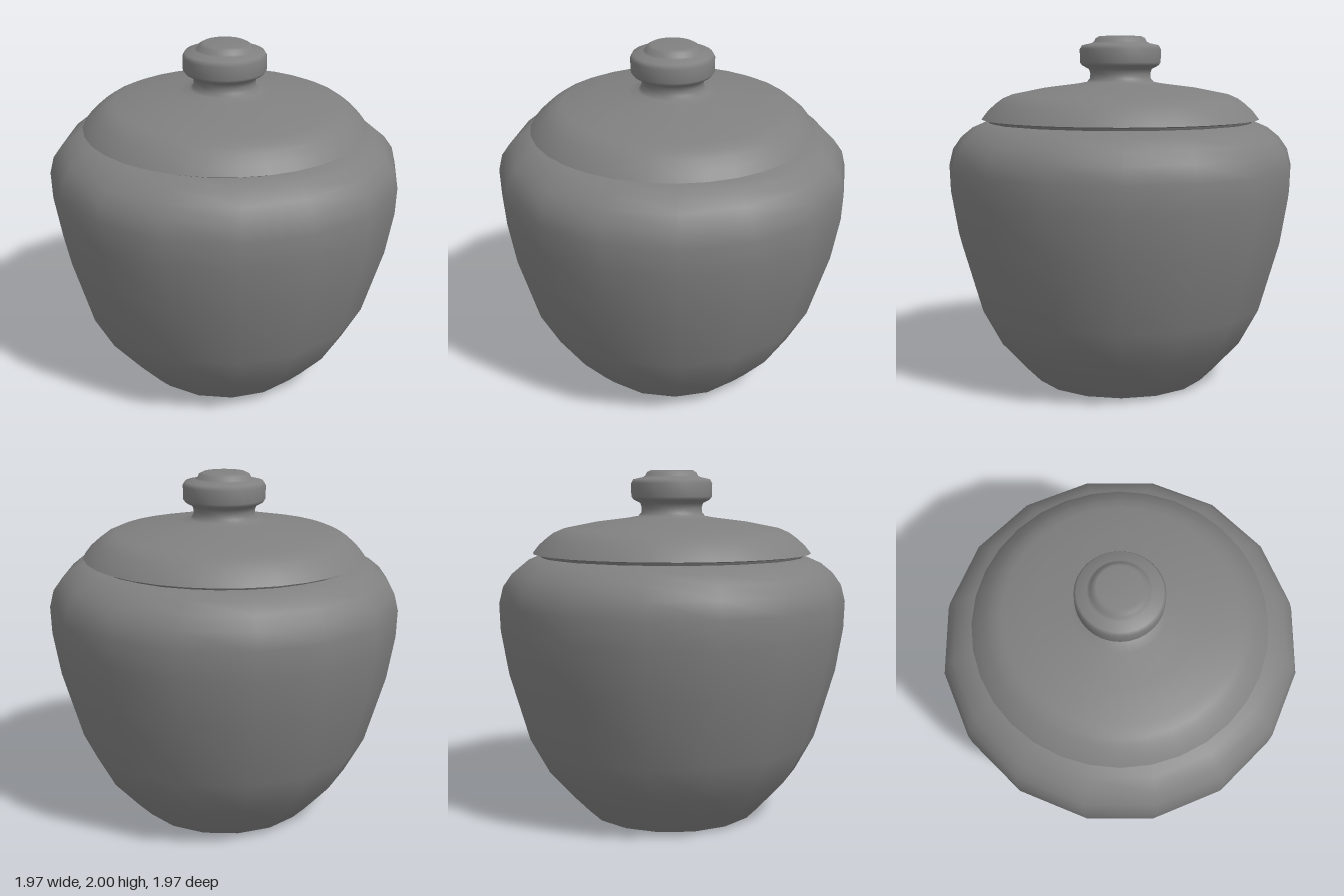
import * as THREE from 'three';

const material = new THREE.MeshStandardMaterial({ color: 0x808080 });

// Turned part: profile of [radius, height] points running outward and up.
function turned(name, profile, sides, start = 0) {
  const points = profile.map(([r, y]) => new THREE.Vector2(r, y));
  const mesh = new THREE.Mesh(new THREE.LatheGeometry(points, sides, start), material);
  mesh.name = name;
  return mesh;
}

export function createModel() {
  const jar = new THREE.Group();
  jar.name = 'liddedJar';

  // Sixteen-sided pot, with flats facing the axes
  const sides = 16, turn = Math.PI / sides;
  const pot = new THREE.Group();
  pot.name = 'pot';
  pot.add(
    turned('potBase', [[0, 0], [0.505, 0]], sides, turn),
    turned('potWall', [
      [0.505, 0], [0.583, 0.08], [0.735, 0.25], [0.845, 0.455], [0.958, 0.85],
      [0.999, 1.10], [1.004, 1.255], [0.98, 1.35], [0.93, 1.42], [0.862, 1.475],
      [0.79, 1.506], [0.74, 1.51],
    ], sides, turn),
    // Mouth of the pot, dropping inside below the lid
    turned('potLip', [[0.74, 1.51], [0.69, 1.5], [0.67, 1.45]], sides, turn),
  );

  // Round lid with overhanging rim
  const round = 32;
  const lid = new THREE.Group();
  lid.name = 'lid';
  lid.add(
    turned('lidSeat', [[0, 1.495], [0.755, 1.495], [0.765, 1.52]], round),
    turned('lidUnderside', [[0.765, 1.52], [0.805, 1.528]], round),
    // Dome running into a knob: waisted neck, thick band and small raised cap
    turned('lidTop', [
      [0.805, 1.528], [0.77, 1.573], [0.722, 1.615], [0.685, 1.642], [0.627, 1.667],
      [0.447, 1.703], [0.257, 1.727], [0.195, 1.738], [0.177, 1.757],
      [0.174, 1.785], [0.182, 1.812], [0.222, 1.833], [0.234, 1.85],
      [0.235, 1.925], [0.222, 1.948], [0.168, 1.96], [0.153, 1.968], [0.143, 1.988],
      [0.12, 2.0], [0, 2.0],
    ], round),
  );

  jar.add(pot, lid);
  return jar;
}
